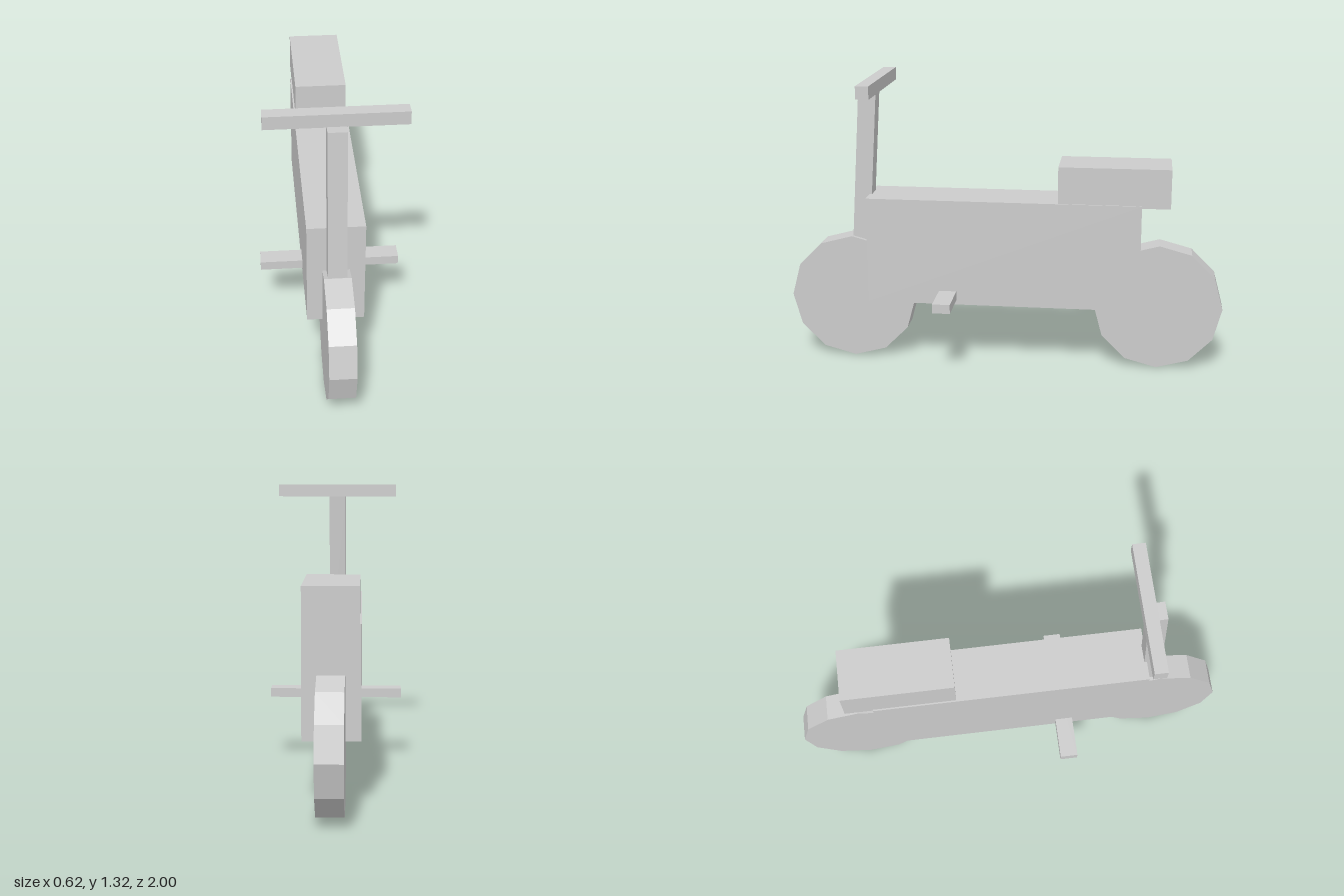
import * as THREE from 'three';

export function createModel() {
  const model = new THREE.Group();
  model.name = 'scooter';
  const material = new THREE.MeshStandardMaterial({ color: 0xcccccc, flatShading: true });

  function add(name, geometry, x, y, z) {
    const mesh = new THREE.Mesh(geometry, material);
    mesh.name = name;
    mesh.position.set(x, y, z);
    model.add(mesh);
    return mesh;
  }
  const box = (name, w, h, d, y, z) => add(name, new THREE.BoxGeometry(w, h, d), 0, y, z);

  // Body slab and the seat overhanging its rear
  box('body', 0.248, 0.49, 1.246, 0.54, 0);
  box('seat', 0.234, 0.178, 0.5, 0.863, -0.5);

  // Twelve-sided wheels, partly sunk into the body
  const radius = 0.292;
  for (const [name, side] of [['frontWheel', 1], ['rearWheel', -1]]) {
    const wheel = new THREE.CylinderGeometry(radius, radius, 0.116, 12).rotateZ(Math.PI / 2);
    add(name, wheel, 0, radius + 0.002, side * (1 - radius));
  }

  // Steering column leaning back, its foot inside the front wheel
  const lean = 0.065, length = 0.79;
  const column = new THREE.BoxGeometry(0.08, length, 0.08).translate(0, -length / 2, 0);
  add('steeringColumn', column, 0, 1.268, 0.62).rotation.x = -lean;
  box('handlebar', 0.584, 0.058, 0.058, 1.295, 0.584);

  // Foot pegs run straight through the body
  box('footPegs', 0.625, 0.042, 0.08, 0.337, 0.251);

  return model;
}
